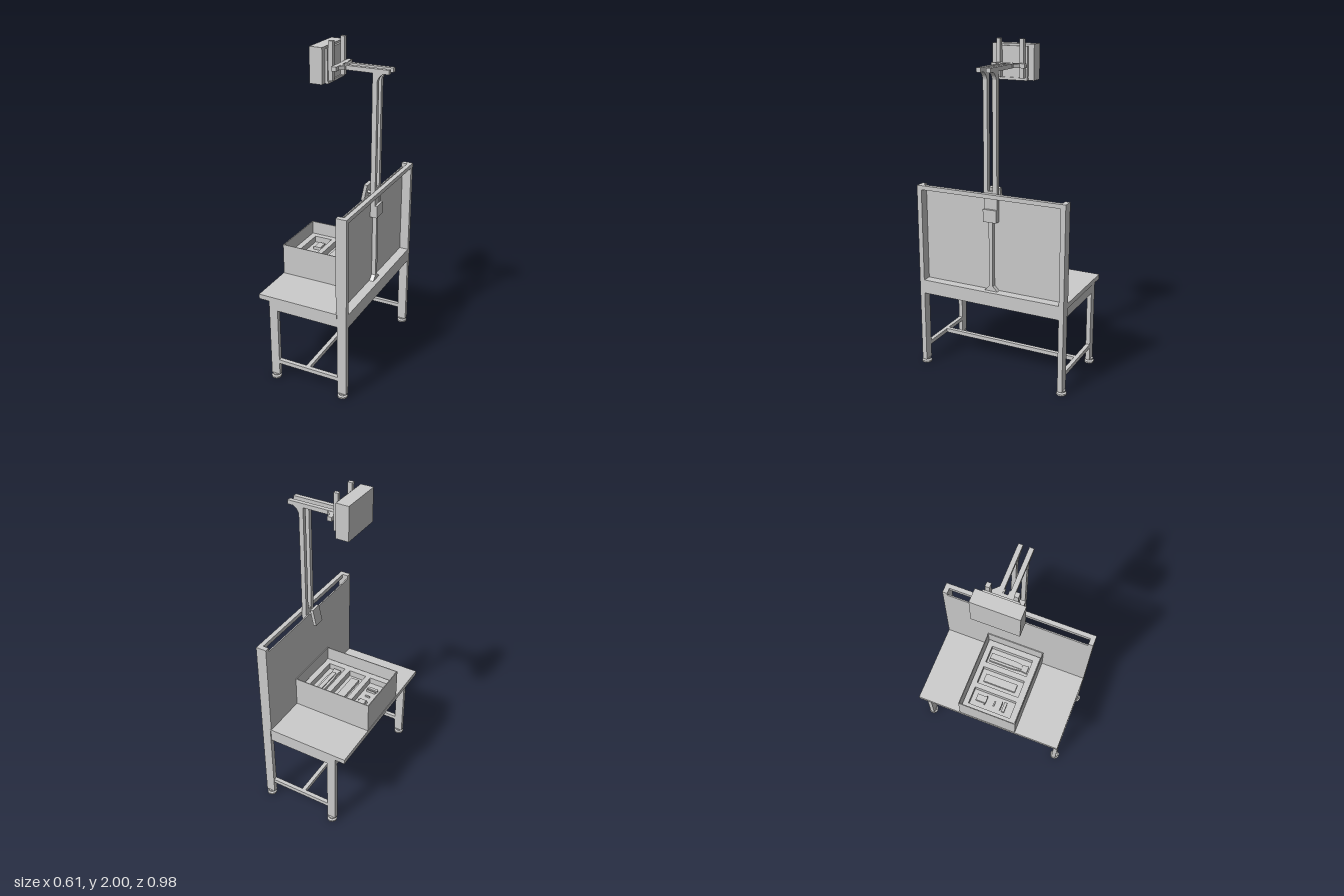
import * as THREE from 'three';

const grey = new THREE.MeshStandardMaterial({ color: 0xcccccc, flatShading: true, side: THREE.DoubleSide });

export function createModel() {
  const model = new THREE.Group();

  const add = (name, geometry, parent = model) => {
    const mesh = new THREE.Mesh(geometry, grey);
    mesh.name = name;
    parent.add(mesh);
    return mesh;
  };
  // Box given by its limits along each axis
  const box = (name, x0, x1, y0, y1, z0, z1, parent) =>
    add(name, new THREE.BoxGeometry(x1 - x0, y1 - y0, z1 - z0)
      .translate((x0 + x1) / 2, (y0 + y1) / 2, (z0 + z1) / 2), parent);
  // The same box on both sides of z = 0
  const pair = (name, x0, x1, y0, y1, z0, z1) => {
    box(name, x0, x1, y0, y1, z0, z1);
    box(name, x0, x1, y0, y1, -z1, -z0);
  };
  const polygon = (points) => new THREE.Shape(points.map(([a, b]) => new THREE.Vector2(a, b)));
  const extrude = (shape, depth) => new THREE.ExtrudeGeometry(shape, { depth, bevelEnabled: false });
  // Outline in (x, z), from y0 up to y1
  const slab = (name, shape, y0, y1) =>
    add(name, extrude(shape, y1 - y0).rotateX(Math.PI / 2).translate(0, y1, 0));

  // Table top, rails and legs
  box('tableTop', -0.305, 0.205, 0.53, 0.56, -0.475, 0.475);
  pair('sideRail', -0.185, 0.205, 0.475, 0.53, 0.445, 0.472);
  box('frontRail', -0.24, -0.212, 0.475, 0.53, -0.445, 0.445);
  box('rearRail', 0.205, 0.265, 0.475, 0.56, -0.445, 0.445);
  pair('frontLeg', -0.24, -0.185, 0.025, 0.53, 0.445, 0.472);
  pair('rearUpright', 0.208, 0.265, 0.025, 1.155, 0.445, 0.475);

  // Lower H-shaped stretcher
  pair('sideStretcher', -0.185, 0.208, 0.105, 0.13, 0.446, 0.471);
  box('longStretcher', -0.012, 0.013, 0.105, 0.13, -0.446, 0.446);

  // Levelling feet
  const footProfile = [[0, 0], [0.031, 0], [0.031, 0.01], [0.012, 0.015], [0.012, 0.019],
    [0.024, 0.019], [0.024, 0.027], [0, 0.027]].map(([r, y]) => new THREE.Vector2(r, y));
  for (const x of [-0.213, 0.236]) for (const z of [-0.461, 0.461]) {
    add('levellingFoot', new THREE.LatheGeometry(footProfile, 10)).position.set(x, 0, z);
  }

  // Back panel and its top bar
  box('backPanel', 0.2, 0.208, 0.56, 1.13, -0.475, 0.475);
  pair('panelEdge', 0.2, 0.208, 1.13, 1.155, 0.445, 0.475);
  box('topBar', 0.237, 0.265, 1.13, 1.155, -0.445, 0.445);

  // Column behind the panel
  box('lowerPole', 0.21, 0.236, 0.56, 0.985, -0.012, 0.012);
  add('poleBase', extrude(polygon([[-0.042, 0.56], [0.042, 0.56], [0.012, 0.59], [-0.012, 0.59]]), 0.026)
    .rotateY(Math.PI / 2).translate(0.21, 0, 0));
  box('poleClamp', 0.208, 0.25, 0.985, 1.06, -0.042, 0.042);
  pair('columnPost', 0.207, 0.236, 0.99, 1.84, 0.016, 0.042);
  box('columnSpacer', 0.21, 0.234, 1.05, 1.165, -0.016, 0.016);

  // Overhead twin arm with curved corner braces
  pair('overheadArm', 0.018, 0.305, 1.84, 1.865, 0.017, 0.043);
  const brace = new THREE.Shape();
  brace.moveTo(0.236, 1.84);
  brace.lineTo(0.236, 1.795);
  brace.quadraticCurveTo(0.242, 1.825, 0.272, 1.84);
  brace.closePath();
  for (const z of [-0.042, 0.016]) add('armBrace', extrude(brace, 0.026).translate(0, 0, z));
  box('crossHead', -0.01, 0.018, 1.84, 1.865, -0.105, 0.105);
  for (const s of [-1, 1]) {
    slab('headGusset', polygon([[0.018, s * 0.043], [0.05, s * 0.043], [0.018, s * 0.075]]), 1.842, 1.863);
    // Small blocks filling the joint of arm and head
    box('jointBlock', 0.018, 0.045, 1.845, 1.862, s * 0.03 - 0.02, s * 0.03 + 0.02);
  }

  // Overhead unit on vertical slide bars
  pair('slideBar', -0.038, -0.011, 1.78, 2, 0.062, 0.086);
  box('mountPlate', -0.052, -0.038, 1.778, 1.958, -0.097, 0.097);
  box('mountLedge', -0.052, -0.03, 1.765, 1.78, -0.1, 0.1);
  box('overheadUnit', -0.13, -0.052, 1.765, 1.97, -0.133, 0.133);
  add('lens', new THREE.CylinderGeometry(0.025, 0.025, 0.006, 20)).position.set(-0.092, 1.763, 0.05);

  // Tilted hand-held panel on a short stem
  const display = box('display', -0.01, 0.01, -0.052, 0.052, -0.035, 0.035);
  display.position.set(0.163, 1.127, 0);
  display.rotation.z = -0.2;
  add('displayStem', new THREE.CylinderGeometry(0.008, 0.008, 0.045, 12).rotateZ(Math.PI / 2))
    .position.set(0.19, 1.125, 0);

  // Open bin on the table
  const rectangle = (x0, x1, z0, z1) => polygon([[x0, z0], [x1, z0], [x1, z1], [x0, z1]]);
  const rim = rectangle(-0.303, 0.2, -0.19, 0.187);
  rim.holes.push(rectangle(-0.298, 0.195, -0.185, 0.182));
  slab('binWall', rim, 0.56, 0.755);
  box('binFloor', -0.298, 0.195, 0.56, 0.57, -0.185, 0.182);

  // Insert tray with three pockets
  const tray = rectangle(-0.295, 0.19, -0.178, 0.174);
  for (const x of [-0.2, -0.053, 0.096]) tray.holes.push(rectangle(x - 0.057, x + 0.057, -0.144, 0.134));
  slab('insertTray', tray, 0.57, 0.675);
  box('pocketFloor', -0.28, 0.18, 0.57, 0.635, -0.16, 0.15);

  // Small parts lying in the pockets
  box('ribbedBlock', -0.214, -0.172, 0.635, 0.655, -0.113, -0.047);
  pair('blockRib', -0.222, -0.164, 0.635, 0.65, 0.05, 0.055);
  box('smallBar', -0.21, -0.178, 0.635, 0.645, 0.001, 0.01);
  box('wideBar', -0.227, -0.162, 0.635, 0.65, 0.065, 0.083);
  box('middleBlock', -0.08, -0.028, 0.635, 0.655, -0.113, 0.1);
  slab('longPart', polygon([[0.063, -0.13], [0.117, -0.13], [0.117, 0.03], [0.11, 0.085],
    [0.115, 0.125], [0.065, 0.125], [0.07, 0.085], [0.063, 0.03]]), 0.635, 0.655);
  box('longPartRidge', 0.077, 0.103, 0.655, 0.662, -0.13, 0.085);

  return model;
}
